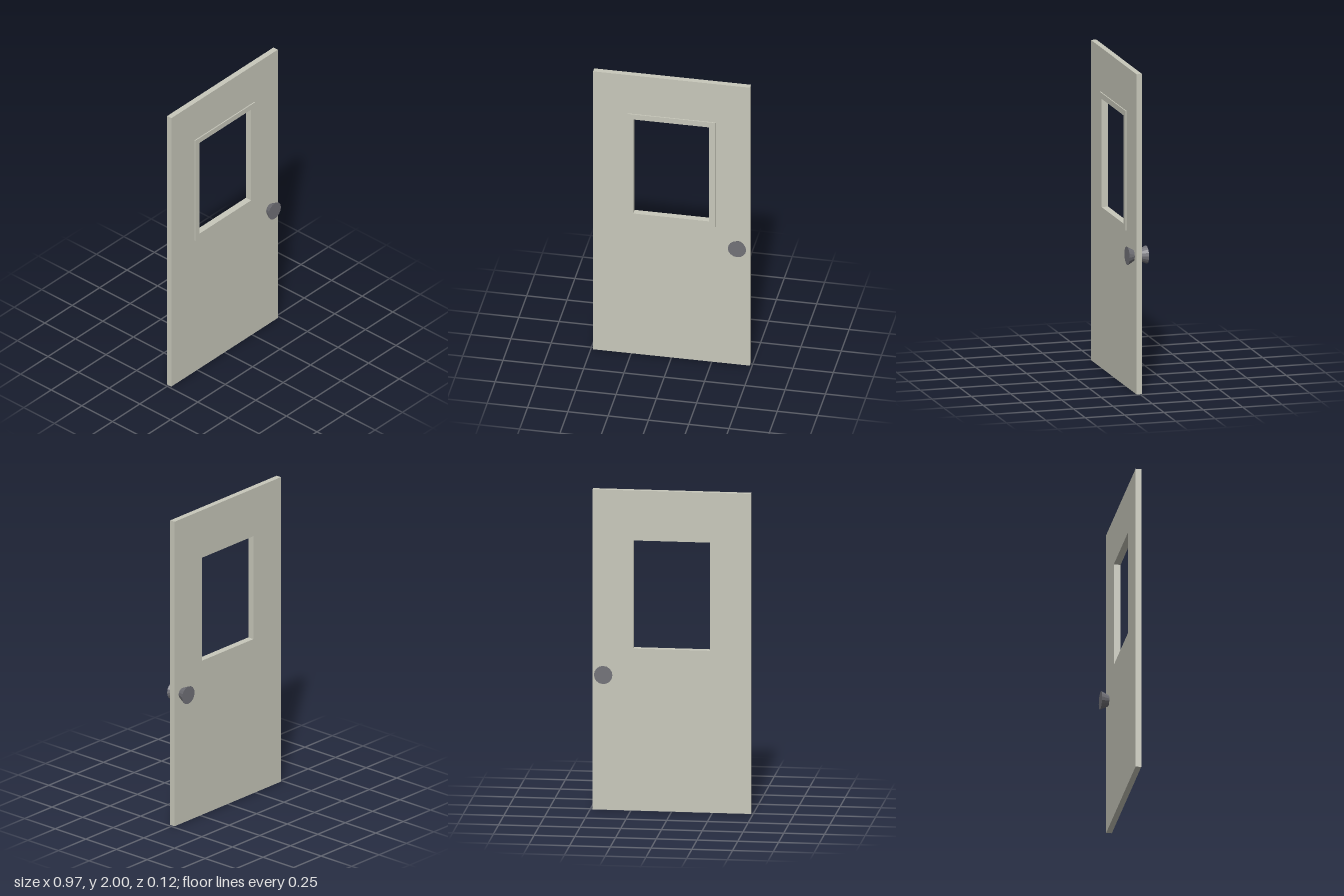
import * as THREE from 'three';

// Rectangular panel with a rectangular hole, spanning z0..z1; bounds are [x0, x1, y0, y1]
function holedPanel([x0, x1, y0, y1], [a0, a1, b0, b1], z0, z1) {
  const shape = new THREE.Shape([[x0, y0], [x1, y0], [x1, y1], [x0, y1]].map(p => new THREE.Vector2(...p)));
  shape.holes.push(new THREE.Path([[a0, b0], [a0, b1], [a1, b1], [a1, b0]].map(p => new THREE.Vector2(...p))));
  return new THREE.ExtrudeGeometry(shape, { depth: z1 - z0, bevelEnabled: false }).translate(0, 0, z0);
}

export function createModel() {
  const paint = new THREE.MeshStandardMaterial({ color: 0xc8c8bb });
  paint.name = 'door paint';
  const metal = new THREE.MeshStandardMaterial({ color: 0x727278, flatShading: true });
  metal.name = 'dark metal';

  const group = new THREE.Group();
  group.name = 'door';
  const add = (name, geometry, material) => {
    const mesh = new THREE.Mesh(geometry, material);
    mesh.name = name;
    group.add(mesh);
    return mesh;
  };

  // Door slab and the thin raised frame on its front
  const opening = [-0.235, 0.235, 1.012, 1.688];
  add('slab', holedPanel([-0.486, 0.486, 0, 2], opening, -0.014, 0.021), paint);
  add('windowFrame', holedPanel([-0.273, 0.273, 0.976, 1.724], opening, 0.021, 0.028), paint);

  // Flared knobs, widening away from the slab on both sides
  for (const [name, side, near, far] of [['frontKnob', 1, 0.018, 0.06], ['backKnob', -1, 0.011, 0.063]]) {
    const knob = add(name, new THREE.CylinderGeometry(0.057, 0.033, far - near, 16), metal);
    knob.rotation.x = side * Math.PI / 2;
    knob.position.set(0.414, 0.853, side * (near + far) / 2);
  }
  return group;
}
